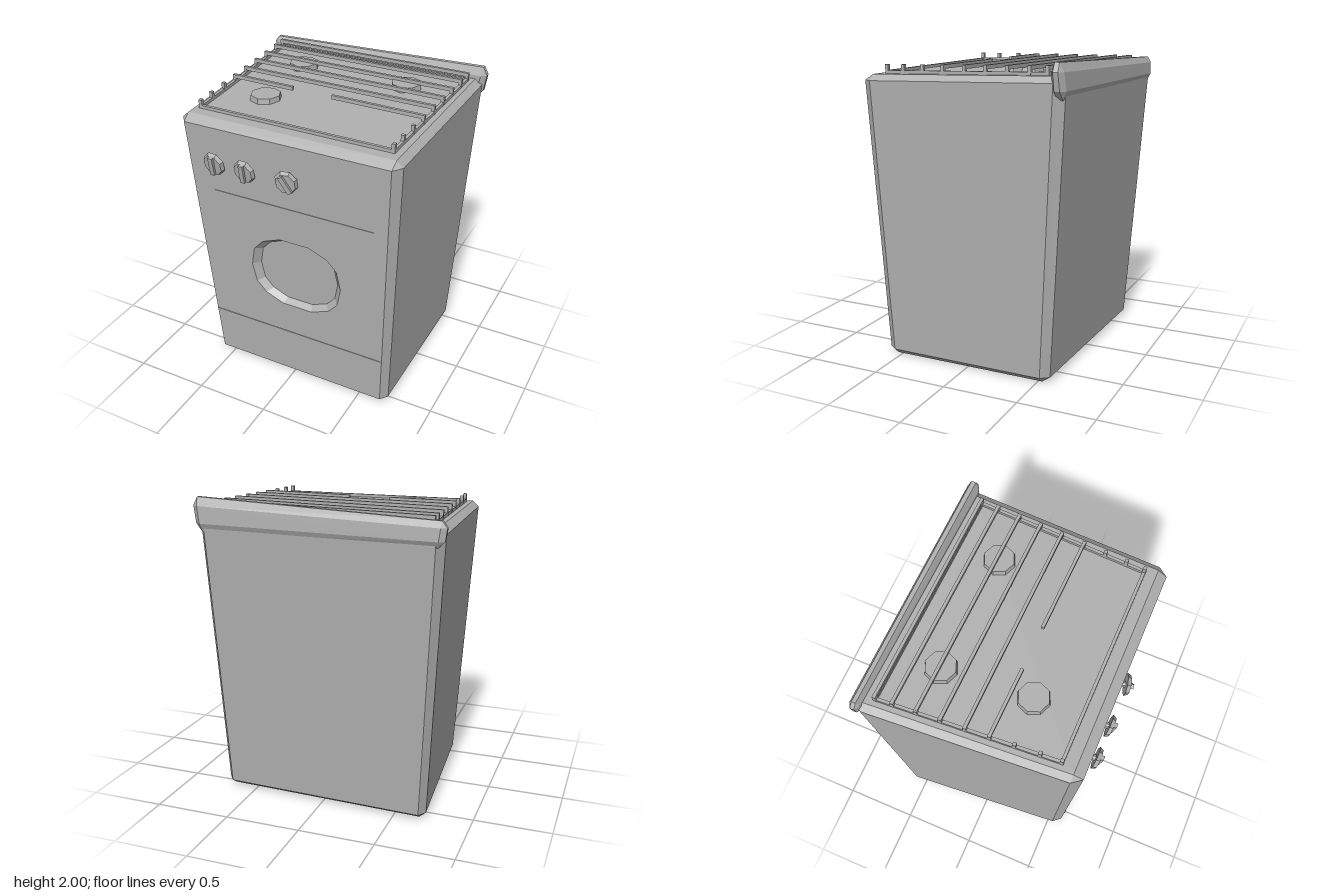
import * as THREE from 'three';

const enamel = new THREE.MeshStandardMaterial({ color: 0xb0b0b0 });
enamel.name = 'grey enamel';
enamel.flatShading = true;

const lerp = THREE.MathUtils.lerp;

function add(parent, name, geometry) {
  const mesh = new THREE.Mesh(geometry, enamel);
  mesh.name = name;
  parent.add(mesh);
  return mesh;
}

// Trilinear blend of eight corners, ordered back then front; each is
// bottom left, bottom right, top left, top right.
function blend(corners, u, v, w) {
  const p = new THREE.Vector3();
  corners.forEach((c, i) => {
    const k = (i & 1 ? u : 1 - u) * (i & 2 ? v : 1 - v) * (i & 4 ? w : 1 - w);
    p.addScaledVector(new THREE.Vector3(...c), k);
  });
  return p;
}

// Chamfered box bent to eight corners, lofted from four rings
function chamferedBox(corners, cu, cv, cw, openFront = false) {
  const full = [[cu, 0], [1 - cu, 0], [1, cv], [1, 1 - cv], [1 - cu, 1], [cu, 1], [0, 1 - cv], [0, cv]];
  const inset = full.map(([u, v]) => [
    THREE.MathUtils.clamp(u, cu, 1 - cu), THREE.MathUtils.clamp(v, cv, 1 - cv)]);
  const rings = [[inset, 0], [full, cw], [full, 1 - cw], [inset, 1]];
  const points = [], index = [];
  rings.forEach(([ring, w], k) => ring.forEach(([u, v], i) => {
    points.push(...blend(corners, u, v, w).toArray());
    if (k === 3) return;
    const a = k * 8 + i, b = k * 8 + (i + 1) % 8;
    index.push(a, b, b + 8, a, b + 8, a + 8);
  }));
  index.push(0, 5, 3, 0, 3, 1);
  if (!openFront) index.push(24, 25, 27, 24, 27, 29);
  const g = new THREE.BufferGeometry();
  g.setAttribute('position', new THREE.Float32BufferAttribute(points, 3));
  g.setIndex(index);
  g.computeVertexNormals();
  return g;
}

// Straight bar between two points
function beam(parent, name, a, b, width, height) {
  const from = new THREE.Vector3(...a), to = new THREE.Vector3(...b);
  const mesh = add(parent, name, new THREE.BoxGeometry(width, height, from.distanceTo(to)));
  mesh.position.copy(from).lerp(to, 0.5);
  mesh.lookAt(to);
  return mesh;
}

const bodyCorners = [
  [-0.71, 0, -0.63], [0.715, 0, -0.575], [-0.815, 1.89, -0.735], [0.8, 1.92, -0.69],
  [-0.61, 0, 0.59], [0.705, 0, 0.59], [-0.72, 1.88, 0.685], [0.77, 1.88, 0.685],
];
const frontZ = y => 0.59 + 0.095 * y / 1.88;
const deckY = (x, z) => 1.88 + (0.69 - z) / 1.4 * (0.025 + 0.018 * x);

export function createModel() {
  const stove = new THREE.Group();
  stove.name = 'stove';

  // Tapered cabinet
  const cu = 0.03, cv = 0.02;
  add(stove, 'body', chamferedBox(bodyCorners, cu, cv, 0.045, true));

  // Front panel with the oven window opening
  const corner = (u, v) => {
    const p = blend(bodyCorners, u, v, 1);
    return new THREE.Vector2(p.x, p.y);
  };
  const panel = new THREE.Shape([corner(cu, cv), corner(1 - cu, cv), corner(1 - cu, 1 - cv), corner(cu, 1 - cv)]);
  const quarter = [[1, 0], [0.92, 0.51], [0.71, 0.8], [0.32, 1]];
  const mirrored = quarter.slice(1).reverse().map(([x, y]) => [-x, y]);
  const half = [...quarter, ...mirrored];
  const outline = [...half, ...half.map(([x, y]) => [-x, -y])];
  const ring = (rx, ry) => outline.map(([x, y]) => new THREE.Vector2(0.063 + x * rx, 0.88 + y * ry));
  const outer = ring(0.325, 0.26), inner = ring(0.283, 0.233), depth = 0.045;
  panel.holes.push(new THREE.Path(outer));
  const onFront = (geometry, offset) => {
    const p = geometry.attributes.position;
    for (let i = 0; i < p.count; i++) p.setZ(i, frontZ(p.getY(i)) + offset);
    geometry.computeVertexNormals();
    return geometry;
  };
  add(stove, 'frontPanel', onFront(new THREE.ShapeGeometry(panel), 0));
  add(stove, 'ovenWindow', onFront(new THREE.ShapeGeometry(new THREE.Shape(inner)), -depth));

  // Sloped rim of the window
  const rim = [], rimIndex = [], n = outer.length;
  outer.forEach((o, i) => {
    rim.push(o.x, o.y, frontZ(o.y), inner[i].x, inner[i].y, frontZ(inner[i].y) - depth);
    const a = 2 * i, b = 2 * ((i + 1) % n);
    rimIndex.push(a, b, b + 1, a, b + 1, a + 1);
  });
  const rimGeometry = new THREE.BufferGeometry();
  rimGeometry.setAttribute('position', new THREE.Float32BufferAttribute(rim, 3));
  rimGeometry.setIndex(rimIndex);
  rimGeometry.computeVertexNormals();
  add(stove, 'windowRim', rimGeometry);

  // Seams above the oven door and above the drawer
  for (const [name, y, x0, x1] of [['doorSeam', 1.392, -0.5, 0.62], ['drawerSeam', 0.38, -0.59, 0.67]]) {
    beam(stove, name, [x0, y, frontZ(y)], [x1, y, frontZ(y)], 0.008, 0.006);
  }

  // Knobs: the third is loose and twisted
  for (const [x, tilt, yaw, spin] of [[-0.46, 0.16, 0, 0], [-0.24, 0.16, 0, 0], [0.055, 0.12, 0.25, 0.45]]) {
    const knob = new THREE.Group();
    knob.name = 'knob';
    knob.position.set(x, 1.605, 0.705);
    knob.rotation.set(tilt, yaw, 0);
    const disc = add(knob, 'knobDisc', new THREE.CylinderGeometry(0.062, 0.073, 0.025, 8));
    disc.rotation.set(Math.PI / 2, Math.PI / 8, 0);
    disc.scale.z = 1.12;
    const grip = add(knob, 'knobGrip', new THREE.BoxGeometry(0.03, 0.125, 0.025));
    grip.position.z = 0.018;
    grip.rotation.z = spin;
    const stem = add(knob, 'knobStem', new THREE.CylinderGeometry(0.02, 0.02, 0.05, 8));
    stem.rotation.x = Math.PI / 2;
    stem.position.z = -0.025;
    stove.add(knob);
  }

  // Crooked lip along the back edge
  add(stove, 'backLip', chamferedBox([
    [-0.81, 1.78, -0.745], [0.795, 1.78, -0.7], [-0.83, 1.935, -0.735], [0.83, 2.0, -0.685],
    [-0.805, 1.78, -0.67], [0.795, 1.78, -0.61], [-0.83, 1.935, -0.67], [0.83, 2.0, -0.61],
  ], 0.022, 0.25, 0.3));

  // Burners
  for (const [x, z] of [[-0.39, -0.335], [0.39, -0.3], [-0.35, 0.24]]) {
    const burner = add(stove, 'burner', new THREE.CylinderGeometry(0.098, 0.105, 0.045, 8));
    burner.position.set(x, deckY(x, z) + 0.015, z);
  }

  // Grate: frame rails, posts and crossbars, some of them broken
  const grate = new THREE.Group();
  grate.name = 'grate';
  stove.add(grate);
  const at = (x, z, h) => [x, deckY(x, z) + h, z];
  const leftX = z => lerp(-0.715, -0.64, (z + 0.6) / 1.14);
  const rightX = z => lerp(0.71, 0.675, (z + 0.56) / 1.1);
  const rows = [[-0.605, -0.56], [-0.495, -0.445], [-0.35, -0.3], [-0.2, -0.155], [-0.05, -0.01],
    [0.1, 0.14], [0.25, 0.285], [0.405, 0.425], [0.535, 0.545]];
  const [backL, backR] = rows[0], [frontL, frontR] = rows[8];
  const frame = [[leftX(backL), backL], [rightX(backR), backR], [rightX(frontR), frontR], [leftX(frontL), frontL]];
  frame.forEach(([x, z], i) => {
    const [x2, z2] = frame[(i + 1) % 4];
    beam(grate, 'grateRail', at(x, z, 0.01), at(x2, z2, 0.01), 0.02, 0.022);
  });
  rows.forEach(([zl, zr], i) => {
    const xl = leftX(zl), xr = rightX(zr);
    for (const [x, z] of [[xl, zl], [xr, zr]]) {
      beam(grate, 'gratePost', at(x, z, 0), at(x, z, 0.058), 0.022, 0.022);
    }
    const spans = i < 5 ? [[0, 1]] : i === 5 ? [[0, 0.33], [0.54, 1]] : [];
    for (const [s, e] of spans) {
      const end = t => at(lerp(xl, xr, t), lerp(zl, zr, t), 0.046);
      beam(grate, 'grateBar', end(s), end(e), 0.02, 0.025);
    }
  });

  return stove;
}
